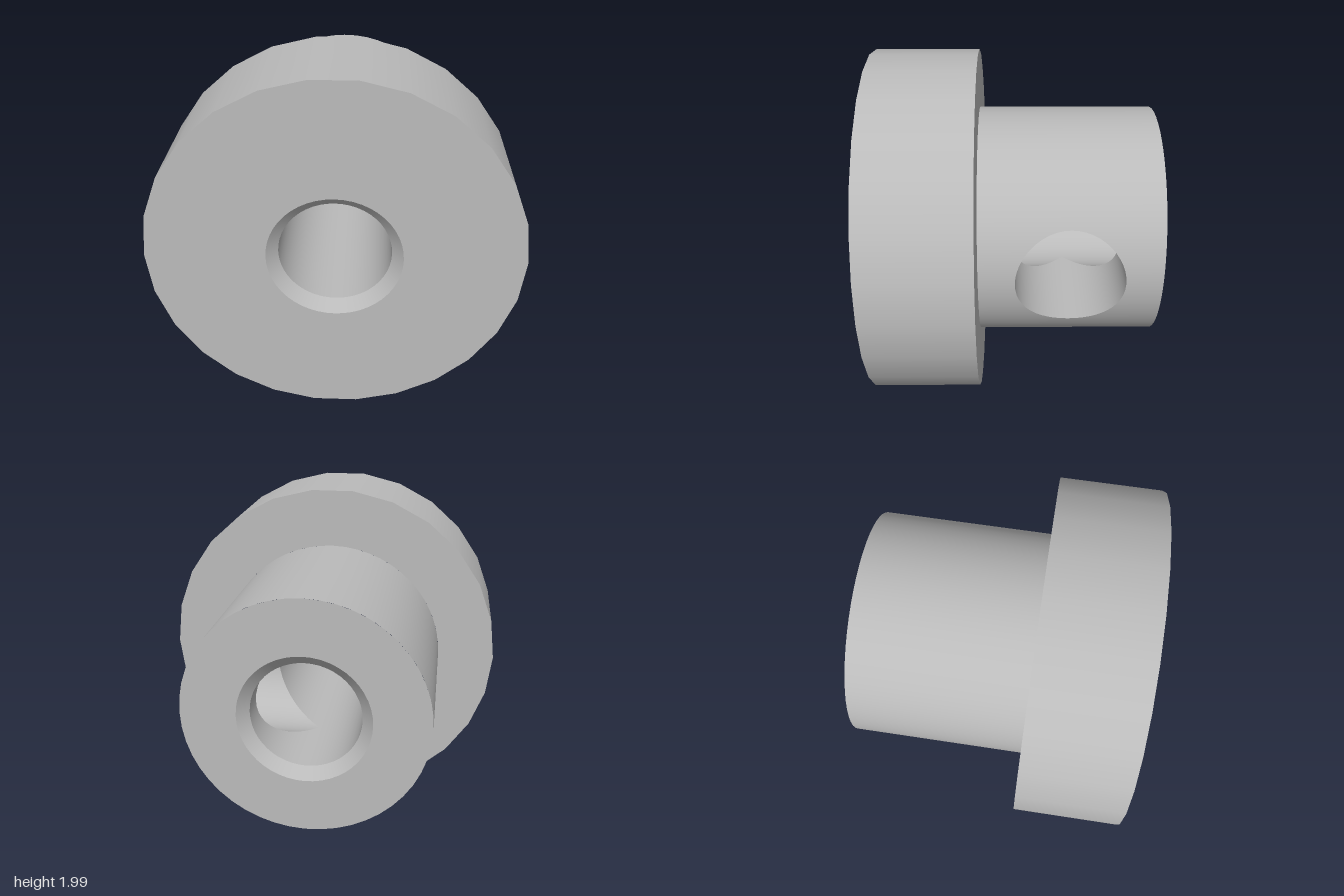
import * as THREE from 'three';

const HUB = 0.665, BORE = 0.3, LIP = 0.36, FLANGE = 1;
const BACK = -0.8, STEP = 0.2, FRONT = 0.8, CHAMFER = 0.06, HOLE_Z = -0.3;
const PI = Math.PI;

// Ruled surface between two curves a(u) and b(u), with the given smooth normal
function loft(n, a, b, normal) {
  const pos = [], nor = [], idx = [];
  for (let i = 0; i <= n; i++) {
    const u = i / n, m = normal(u).normalize();
    pos.push(...a(u).toArray(), ...b(u).toArray());
    nor.push(...m.toArray(), ...m.toArray());
  }
  const u = 0.5 / n, along = a(u + 0.2 / n).sub(a(u));
  const flip = along.cross(b(u).sub(a(u))).dot(normal(u)) < 0;
  for (let i = 0; i < n; i++) {
    const k = 2 * i;
    if (flip) idx.push(k, k + 1, k + 2, k + 2, k + 1, k + 3);
    else idx.push(k, k + 2, k + 1, k + 1, k + 2, k + 3);
  }
  const g = new THREE.BufferGeometry();
  g.setAttribute('position', new THREE.Float32BufferAttribute(pos, 3));
  g.setAttribute('normal', new THREE.Float32BufferAttribute(nor, 3));
  g.setIndex(idx);
  return g;
}

const polar = (r, t, z) => new THREE.Vector3(r * Math.cos(t), r * Math.sin(t), z);

// Band around the z axis; side is +1 for outside walls, -1 for bore walls
function band(n, angle, r0, z0, r1, z1, side) {
  const at = (z, u) => (typeof z === 'function' ? z(u) : z);
  return loft(n,
    u => polar(r0, angle(u), at(z0, u)),
    u => polar(r1, angle(u), at(z1, u)),
    u => {
      const dz = at(z1, u) - at(z0, u);
      return polar(dz, angle(u), r0 - r1).multiplyScalar(side);
    });
}

// Flat ring facing +z or -z
function ring(outer, sides, inner, z, facing) {
  const points = (r, n) => Array.from({ length: n }, (_, i) =>
    new THREE.Vector2(r * Math.cos(2 * PI * i / n), r * Math.sin(2 * PI * i / n)));
  const shape = new THREE.Shape(points(outer, sides));
  shape.holes.push(new THREE.Path(points(inner, 48)));
  const g = new THREE.ShapeGeometry(shape);
  if (facing < 0) g.rotateY(PI);
  return g.translate(0, 0, z);
}

export function createModel() {
  const model = new THREE.Group();
  const steel = new THREE.MeshStandardMaterial({ color: 0xbababa });
  steel.name = 'grey steel';
  const body = new THREE.Group();
  body.name = 'flangedBushing';
  body.position.y = 1;
  model.add(body);
  const add = (name, geometry) => {
    const mesh = new THREE.Mesh(geometry, steel);
    mesh.name = name;
    body.add(mesh);
  };
  const turn = u => 2 * PI * u;
  const half = u => (u - 0.5) * PI;

  // Flange
  add('flangeRim', band(26, turn, FLANGE, STEP, FLANGE, FRONT, 1));
  add('flangeFront', ring(FLANGE, 26, LIP, FRONT, 1));
  add('flangeBack', ring(FLANGE, 26, HUB, STEP, -1));

  // Hub wall, with the two strips in front of and behind the cross hole
  const edge = Math.asin(BORE / HUB);
  const besideHole = u => Math.asin(BORE * Math.sin(half(u)) / HUB);
  const holeFront = u => HOLE_Z + BORE * Math.cos(half(u));
  const holeBack = u => HOLE_Z - BORE * Math.cos(half(u));
  add('hubWall', band(48, u => edge + u * (2 * PI - 2 * edge), HUB, BACK, HUB, STEP, 1));
  add('hubWallFrontOfHole', band(24, besideHole, HUB, holeFront, HUB, STEP, 1));
  add('hubWallBehindHole', band(24, besideHole, HUB, BACK, HUB, holeBack, 1));
  add('hubEnd', ring(HUB, 48, LIP, BACK, -1));

  // Main bore, open on its +x half where the cross hole meets it
  const z0 = BACK + CHAMFER, z1 = FRONT - CHAMFER;
  add('boreWall', band(24, u => PI / 2 + PI * u, BORE, z0, BORE, z1, -1));
  add('boreWallFrontOfHole', band(24, half, BORE, holeFront, BORE, z1, -1));
  add('boreWallBehindHole', band(24, half, BORE, z0, BORE, holeBack, -1));
  add('frontChamfer', band(48, turn, BORE, z1, LIP, FRONT, -1));
  add('backChamfer', band(48, turn, LIP, BACK, BORE, z0, -1));

  // Cross hole from the hub side into the bore
  const holePoint = (r, u) => {
    const y = BORE * Math.sin(turn(u));
    return new THREE.Vector3(Math.sqrt(Math.max(0, r * r - y * y)), y,
      HOLE_Z + BORE * Math.cos(turn(u)));
  };
  add('crossHoleWall', loft(48, u => holePoint(BORE, u), u => holePoint(HUB, u),
    u => new THREE.Vector3(0, -Math.sin(turn(u)), -Math.cos(turn(u)))));

  return model;
}
